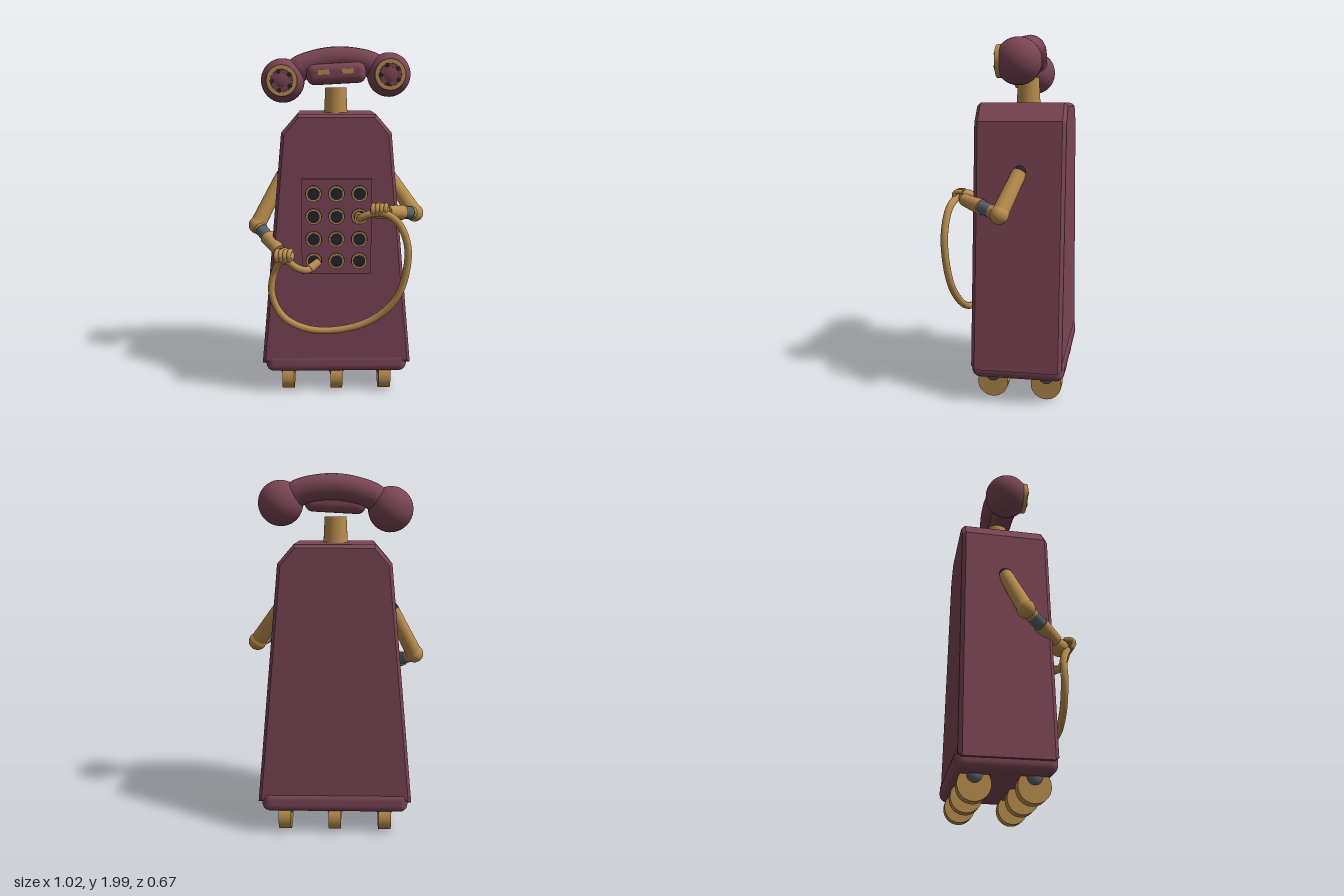
import * as THREE from 'three';
import { RoundedBoxGeometry } from 'three/addons/geometries/RoundedBoxGeometry.js';

const mat = (name, color) => Object.assign(new THREE.MeshStandardMaterial({ color }), { name });
const V = (x, y, z) => new THREE.Vector3(x, y, z);

export function createModel() {
  const plum = mat('plum', 0x7a4555), brass = mat('brass', 0xb88d4c);
  const black = mat('black', 0x23232d), slate = mat('slate', 0x56636b);
  const model = new THREE.Group();
  model.name = 'telephoneRobot';

  const add = (parent, name, geo, material, x = 0, y = 0, z = 0) => {
    const m = new THREE.Mesh(geo, material);
    m.name = name;
    m.position.set(x, y, z);
    parent.add(m);
    return m;
  };
  const ball = (p, name, r, material, c) => add(p, name, new THREE.SphereGeometry(r, 28, 18), material, c.x, c.y, c.z);
  // Tapered rod between two points
  const rod = (p, name, a, b, r1, r2, material) => {
    const d = b.clone().sub(a);
    const m = add(p, name, new THREE.CylinderGeometry(r2, r1, d.length(), 24), material);
    m.position.copy(a).lerp(b, 0.5);
    m.quaternion.setFromUnitVectors(V(0, 1, 0), d.normalize());
    return m;
  };
  // Disc facing the front, from z to z + depth
  const disc = (p, name, rBack, rFront, depth, material, x, y, z, sides = 28) =>
    add(p, name, new THREE.CylinderGeometry(rFront, rBack, depth, sides).rotateX(Math.PI / 2), material, x, y, z + depth / 2);
  const tube = (p, name, pts, r, material, segments) =>
    add(p, name, new THREE.TubeGeometry(new THREE.CatmullRomCurve3(pts), segments, r, 16), material);

  // Tapered cabinet
  const outline = new THREE.Shape([[-0.43, 0.19], [0.43, 0.19], [0.302, 1.525], [0.215, 1.625], [-0.215, 1.625], [-0.302, 1.525]]
    .map(([x, y]) => new THREE.Vector2(x, y)));
  add(model, 'cabinet', new THREE.ExtrudeGeometry(outline, {
    depth: 0.455, bevelEnabled: true, bevelThickness: 0.02, bevelSize: 0.018, bevelOffset: -0.018, bevelSegments: 1,
  }), plum, 0, 0, -0.303);
  add(model, 'base', new RoundedBoxGeometry(0.82, 0.12, 0.508, 4, 0.045), plum, 0, 0.192, -0.079);

  // Six wheels with round hubs
  for (const x of [-0.283, 0, 0.283]) for (const z of [0.07, -0.228]) {
    add(model, 'wheel', new THREE.CylinderGeometry(0.085, 0.085, 0.07, 32).rotateZ(Math.PI / 2), brass, x, 0.085, z);
    ball(model, 'wheelHub', 0.053, slate, V(x, 0.13, z));
  }

  // Keypad
  add(model, 'keypadPanel', new THREE.BoxGeometry(0.39, 0.54, 0.02), plum, 0, 1.005, 0.171);
  for (const x of [-0.127, 0, 0.127]) for (const y of [0.813, 0.938, 1.066, 1.194]) {
    disc(model, 'buttonBase', 0.034, 0.046, 0.014, black, x, y, 0.177);
    disc(model, 'buttonRim', 0.044, 0.044, 0.01, brass, x, y, 0.191);
    disc(model, 'buttonFace', 0.034, 0.034, 0.004, black, x, y, 0.199);
  }

  // Neck
  add(model, 'neck', new THREE.CylinderGeometry(0.06, 0.068, 0.16, 28), brass, 0, 1.685, -0.079);

  // Handset, slightly tilted
  const handset = new THREE.Group();
  handset.name = 'handset';
  handset.position.set(0, 1.82, -0.07);
  handset.rotation.z = 0.055;
  model.add(handset);
  for (const s of [-1, 1]) {
    const x = s * 0.302;
    ball(handset, 'handsetEnd', 0.124, plum, V(x, 0, 0));
    disc(handset, 'handsetRing', 0.088, 0.086, 0.04, brass, x, 0, 0.073);
    disc(handset, 'handsetGrille', 0.063, 0.061, 0.006, plum, x, 0, 0.111);
    for (let i = 0; i < 5; i++) {
      const a = Math.PI / 2 + 0.3 + i * Math.PI * 0.4;
      disc(handset, 'grilleHole', 0.013, 0.013, 0.008, black, x + 0.053 * Math.cos(a), 0.053 * Math.sin(a), 0.112, 14);
    }
    ball(handset, 'handleEnd', 0.072, plum, V(s * 0.2, 0.063, -0.016));
    add(handset, 'handsetLight', new THREE.BoxGeometry(0.062, 0.028, 0.012), brass, s * 0.067, 0.033, 0.085);
  }
  tube(handset, 'handle', [V(-0.27, 0.01, -0.01), V(-0.2, 0.063, -0.016), V(-0.1, 0.092, -0.026), V(0, 0.102, -0.03),
    V(0.1, 0.092, -0.026), V(0.2, 0.063, -0.016), V(0.27, 0.01, -0.01)], 0.072, plum, 48);
  add(handset, 'handsetPod', new RoundedBoxGeometry(0.335, 0.115, 0.13, 4, 0.045), plum, 0.003, 0.022, 0.02);

  // Arms with curled hands
  const arm = (side, shoulder, elbow, wrist, palm) => {
    const g = new THREE.Group();
    g.name = side + 'Arm';
    model.add(g);
    ball(g, 'shoulderSocket', 0.036, black, shoulder.clone().add(V(0, 0.005, -0.003)));
    rod(g, 'upperArm', shoulder, elbow, 0.04, 0.046, brass);
    ball(g, 'elbow', 0.051, brass, elbow);
    const at = (t) => elbow.clone().lerp(wrist, t);
    rod(g, 'forearm', elbow, at(0.2), 0.038, 0.038, brass);
    rod(g, 'cuff', at(0.15), at(0.5), 0.036, 0.036, slate);
    rod(g, 'gauntlet', at(0.48), wrist, 0.043, 0.034, brass);
    ball(g, 'palm', 0.055, brass, palm).scale.set(1, 0.85, 0.9);
    // Fingers wrap over the cord
    for (let i = 0; i < 4; i++) {
      const x = palm.x + (i - 1.5) * 0.023, { y, z } = palm;
      tube(g, 'finger', [V(x, y + 0.035, z + 0.015), V(x - 0.006, y + 0.036, z + 0.055),
        V(x - 0.01, y + 0.018, z + 0.07), V(x - 0.008, y - 0.008, z + 0.06)], 0.013, brass, 12);
      ball(g, 'fingertip', 0.013, brass, V(x - 0.008, y - 0.008, z + 0.06));
    }
  };
  arm('left', V(0.315, 1.255, -0.077), V(0.457, 1.05, 0.005), V(0.275, 1.1, 0.235), V(0.237, 1.105, 0.225));
  arm('right', V(-0.315, 1.255, -0.077), V(-0.457, 0.98, 0.005), V(-0.32, 0.875, 0.2), V(-0.288, 0.85, 0.225));

  // Cord looping from one button, through both hands, to another
  tube(model, 'cord', [
    V(0.122, 1.066, 0.2), V(0.124, 1.067, 0.25), V(0.165, 1.09, 0.272), V(0.24, 1.105, 0.283), V(0.325, 1.06, 0.305),
    V(0.378, 0.95, 0.318), V(0.383, 0.82, 0.318), V(0.33, 0.63, 0.3), V(0.2, 0.495, 0.273), V(0.02, 0.43, 0.255),
    V(-0.16, 0.43, 0.243), V(-0.3, 0.5, 0.232), V(-0.362, 0.63, 0.227), V(-0.345, 0.76, 0.23), V(-0.29, 0.84, 0.268),
    V(-0.215, 0.79, 0.262), V(-0.16, 0.775, 0.245), V(-0.105, 0.808, 0.2),
  ], 0.02, brass, 160);
  disc(model, 'cordPlug', 0.027, 0.027, 0.06, brass, 0.122, 1.066, 0.2);
  rod(model, 'cordPlug', V(-0.15, 0.779, 0.238), V(-0.1, 0.81, 0.2), 0.025, 0.022, brass);

  return model;
}
